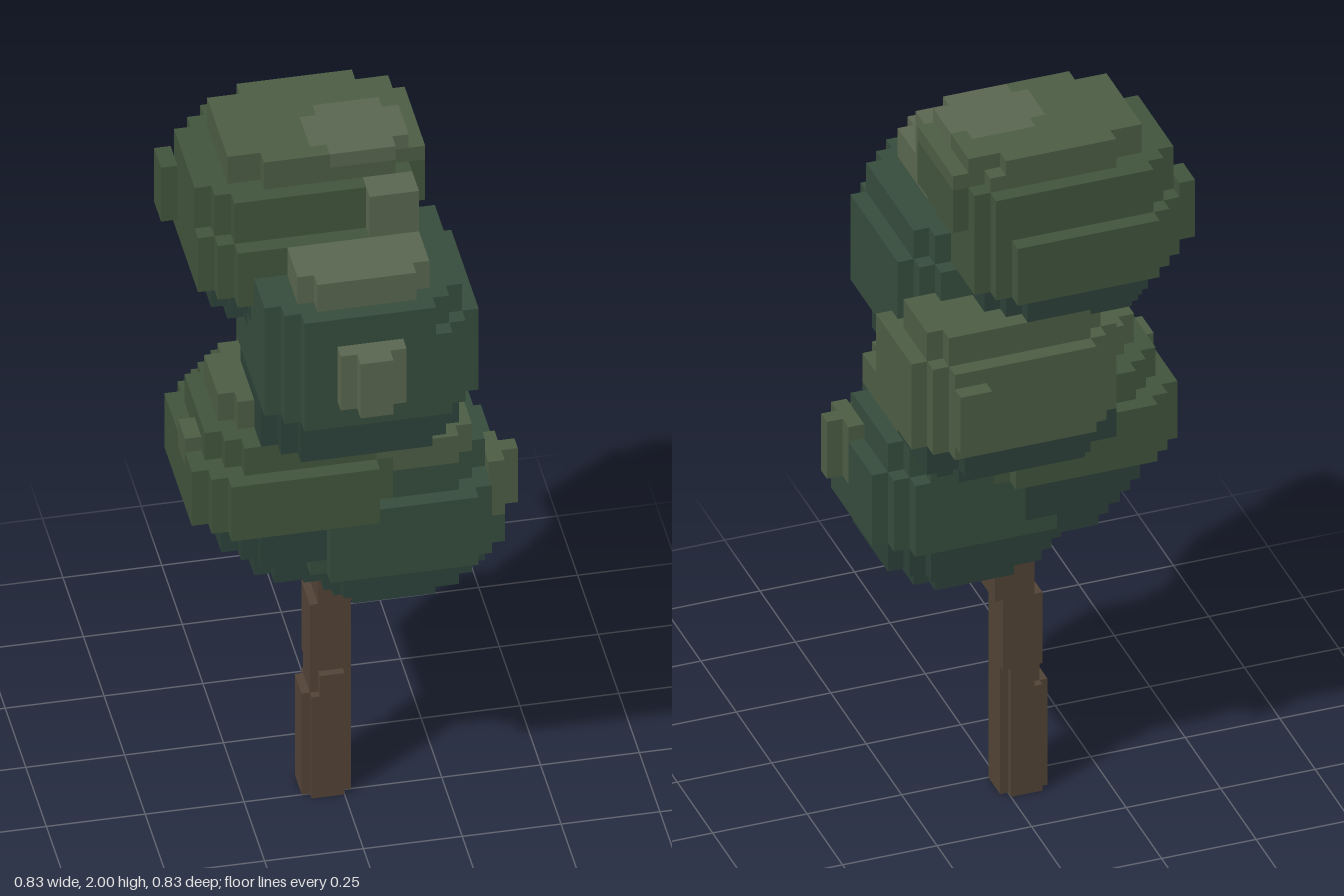
import * as THREE from 'three';

const TONES = { dark: 0x2c4139, teal: 0x364c3c, green: 0x41543c, light: 0x4c5d44, pale: 0x59664f, bark: 0x524336 };

// Each layer: [tone, y0, y1, x0, x1, z0, z1, square corners?], in cells
const CLUMPS = {
  backClump: [
    ['dark', 26, 27, -4, 6, -7, -2], ['dark', 27, 29, -5, 7, -8, -1],
    ['light', 29, 35, -5, 8, -9, 1], ['light', 35, 37, -4, 7, -8, -2],
    ['light', 30, 34, 4, 6, -10, -9, 1],
  ],
  lowRightClump: [
    ['dark', 16, 18, -1, 6, -3, 3], ['dark', 18, 20, -3, 8, -5, 5],
    ['teal', 20, 25, -4, 9, -5, 6], ['teal', 25, 27, -3, 8, -5, 5],
    ['light', 27, 29, 0, 7, -3, 5], ['light', 29, 30, 1, 6, -2, 4],
    ['light', 22, 26, 8, 9, 1, 4, 1], ['light', 22, 26, 9, 10, 2, 3, 1],
  ],
  lowLeftClump: [
    ['dark', 19, 21, -6, 2, -4, 4], ['dark', 21, 24, -8, 2, -5, 5],
    ['green', 24, 28, -10, 3, -6, 6], ['green', 28, 30, -9, 3, -5, 5],
    ['light', 30, 32, -8, 0, -3, 3], ['light', 27, 29, -10, -9, 0, 2, 1],
  ],
  frontClump: [
    ['dark', 30, 33, -6, 6, -3, 7], ['teal', 33, 39, -6, 7, -4, 8],
    ['teal', 39, 41, -6, 6, -4, 8], ['pale', 41, 43, -4, 4, 0, 7],
    ['pale', 35, 39, -2, 2, 8, 9, 1], ['pale', 35, 39, -1, 1, 9, 10, 1],
  ],
  topClump: [
    ['dark', 36, 37, -7, 2, -7, 1], ['dark', 37, 39, -8, 3, -8, 2],
    ['green', 39, 43, -9, 4, -9, 3], ['green', 43, 46, -9, 5, -8, 2],
    ['light', 46, 47, -7, 5, -7, 1], ['light', 47, 48, -7, 4, -7, 1],
    ['pale', 47, 48, -2, 4, -4, 1],
    ['pale', 43, 46, 1, 4, 1, 3, 1], ['green', 40, 44, -10, -9, -7, -5, 1],
  ],
};

// Trunk cells are half the size of the leaf cells
const TRUNK = {
  trunk: [
    ['bark', 0, 15, -5, 1, -5, 1], ['bark', 15, 18, -4, 1, -5, 1],
    ['bark', 18, 28, -4, 1, -5, 0], ['bark', 28, 34, -3, 2, -5, 0],
  ],
};

// Fill a cell map with rounded layers; later layers repaint earlier ones
function fillCells(clumps) {
  const cells = new Map();
  for (const [name, layers] of Object.entries(clumps)) {
    for (const [tone, y0, y1, x0, x1, z0, z1, square] of layers) {
      const rx = (x1 - x0) / 2, rz = (z1 - z0) / 2;
      for (let x = x0; x < x1; x++) for (let z = z0; z < z1; z++) {
        const dx = Math.abs(x + 0.5 - x0 - rx) / rx, dz = Math.abs(z + 0.5 - z0 - rz) / rz;
        if (!square && dx ** 3 + dz ** 3 > 1.03) continue;
        for (let y = y0; y < y1; y++) cells.set(`${x},${y},${z}`, { p: [x, y, z], name, tone });
      }
    }
  }
  return cells;
}

// Build exposed cell faces, one mesh per clump and tone
function buildCells(parent, clumps, unit, materials) {
  const cells = fillCells(clumps);
  const parts = {};
  for (const { p, name, tone } of cells.values()) {
    const out = ((parts[name] ??= {})[tone] ??= { pos: [], nor: [] });
    for (let a = 0; a < 3; a++) for (const s of [1, -1]) {
      const next = [...p];
      next[a] += s;
      if (cells.has(next.join())) continue;
      const b = (a + 1) % 3, c = (a + 2) % 3;
      const ring = [[0, 0], [1, 0], [1, 1], [0, 1]].map(([i, j]) => {
        const v = [...p];
        v[a] += s > 0 ? 1 : 0;
        v[b] += i;
        v[c] += j;
        return v.map((n) => n * unit);
      });
      if (s < 0) ring.reverse();
      const normal = [0, 0, 0];
      normal[a] = s;
      for (const k of [0, 1, 2, 0, 2, 3]) {
        out.pos.push(...ring[k]);
        out.nor.push(...normal);
      }
    }
  }
  for (const [name, tones] of Object.entries(parts)) {
    const group = new THREE.Group();
    group.name = name;
    for (const [tone, { pos, nor }] of Object.entries(tones)) {
      if (!pos.length) continue;
      const geo = new THREE.BufferGeometry();
      geo.setAttribute('position', new THREE.Float32BufferAttribute(pos, 3));
      geo.setAttribute('normal', new THREE.Float32BufferAttribute(nor, 3));
      const mesh = new THREE.Mesh(geo, materials[tone]);
      mesh.name = tone === 'bark' ? 'bark' : `${tone}Leaves`;
      group.add(mesh);
    }
    parent.add(group);
  }
}

export function createModel() {
  const model = new THREE.Group();
  model.name = 'tree';
  const materials = {};
  for (const [tone, color] of Object.entries(TONES)) {
    materials[tone] = new THREE.MeshStandardMaterial({ color });
  }
  buildCells(model, TRUNK, 1 / 48, materials);
  buildCells(model, CLUMPS, 1 / 24, materials);
  return model;
}
